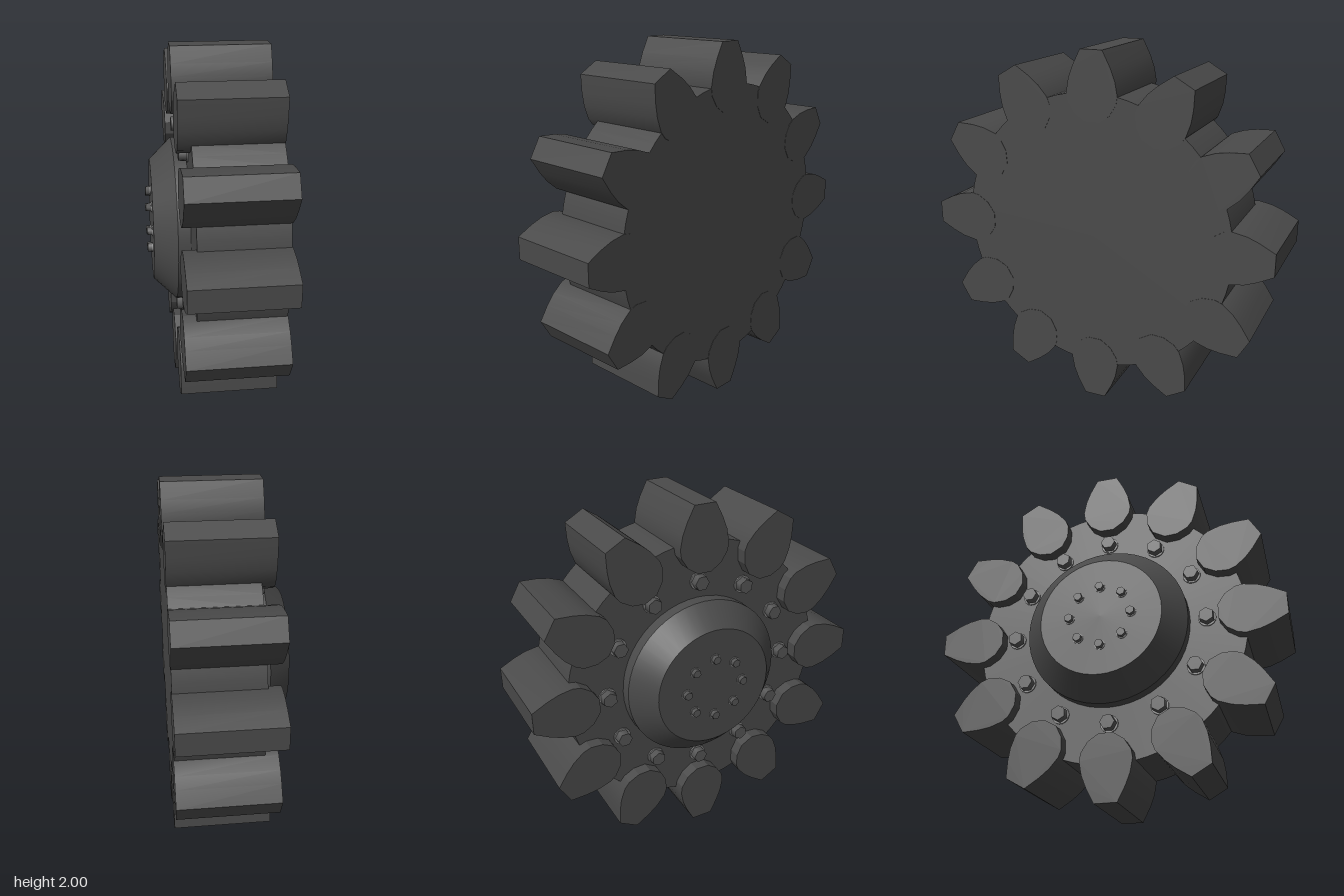
import * as THREE from 'three';
import { toCreasedNormals } from 'three/addons/utils/BufferGeometryUtils.js';

const steel = new THREE.MeshStandardMaterial({ color: 0x4a4a4a });
steel.name = 'dark steel';
const boltSteel = new THREE.MeshStandardMaterial({ color: 0x565656 });
boltSteel.name = 'bolt steel';
const washerSteel = new THREE.MeshStandardMaterial({ color: 0x808080 });
washerSteel.name = 'washer steel';

// Round part along the gear axis; r0 is the radius at x0, r1 at x1 (x1 < x0)
function turned(name, x0, x1, r0, r1, sides, material) {
  const geo = new THREE.CylinderGeometry(r1, r0, x0 - x1, sides);
  geo.rotateZ(Math.PI / 2);
  const mesh = new THREE.Mesh(geo, material);
  mesh.name = name;
  mesh.position.x = (x0 + x1) / 2;
  return mesh;
}

// Hex bolt with a washer, standing on the face at x and pointing to -x
function bolt(name, x, r, height, washerThickness) {
  const group = new THREE.Group();
  group.name = name;
  group.add(turned('washer', x + 0.002, x - washerThickness, r * 1.12, r * 1.12, 16, washerSteel));
  group.add(turned('boltHead', x, x - height, r, r * 0.94, 6, boltSteel));
  return group;
}

// Place copies evenly around the axis
function ring(parent, count, radius, make) {
  for (let i = 0; i < count; i++) {
    const a = (i / count) * Math.PI * 2;
    const part = make();
    part.rotation.x = a;
    part.position.y = Math.cos(a) * radius;
    part.position.z = Math.sin(a) * radius;
    parent.add(part);
  }
}

export function createModel() {
  const gear = new THREE.Group();
  gear.name = 'gear';

  // Body disc, recessed on the hub side
  gear.add(turned('gearDisc', 0.338, -0.13, 0.783, 0.783, 72, steel));

  // Teeth: curved flanks, tapering inwards over the disc
  const half = [[0.04, 0.63], [0.1, 0.67], [0.138, 0.73], [0.145, 0.775],
    [0.131, 0.85], [0.106, 0.915], [0.062, 1]];
  const outline = [...half, ...half.map(([x, y]) => [-x, y]).reverse()];
  const shape = new THREE.Shape(outline.map(([x, y]) => new THREE.Vector2(x, y)));
  let toothGeo = new THREE.ExtrudeGeometry(shape, { depth: 0.54, bevelEnabled: false });
  toothGeo.translate(0, 0, -0.2);
  toothGeo.rotateY(Math.PI / 2);
  toothGeo = toCreasedNormals(toothGeo, 0.35);
  ring(gear, 12, 0, () => {
    const tooth = new THREE.Mesh(toothGeo, steel);
    tooth.name = 'tooth';
    return tooth;
  });

  // Hub: flange and sloped cap
  gear.add(turned('hubFlange', -0.12, -0.197, 0.465, 0.465, 48, steel));
  gear.add(turned('hubCap', -0.197, -0.32, 0.465, 0.345, 48, steel));

  // Bolts on the disc and on the hub
  ring(gear, 12, 0.56, () => bolt('discBolt', -0.13, 0.045, 0.05, 0.008));
  ring(gear, 8, 0.175, () => bolt('hubBolt', -0.32, 0.026, 0.028, 0.005));

  gear.position.y = 1;
  const model = new THREE.Group();
  model.name = 'gearModel';
  model.add(gear);
  return model;
}
